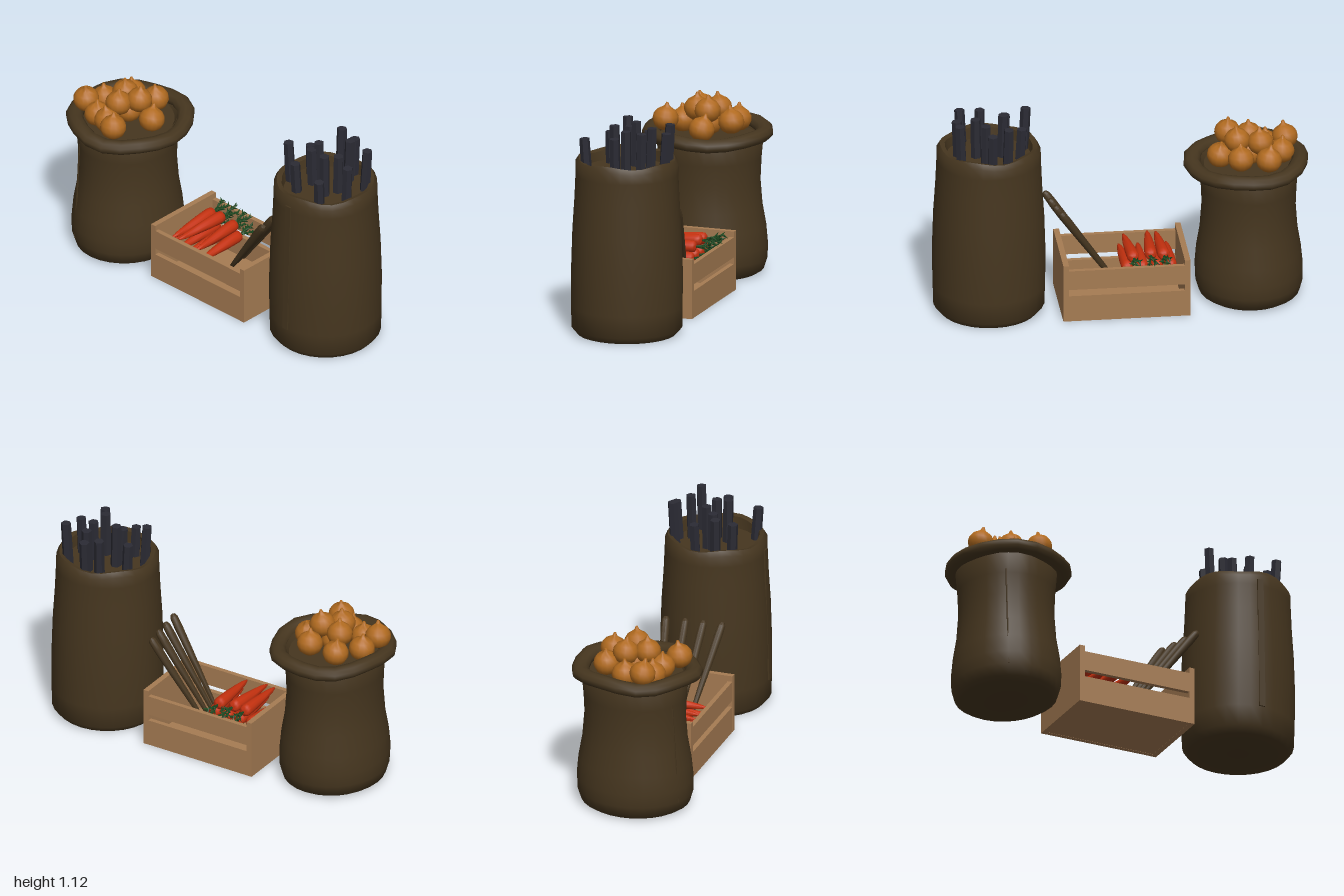
import * as THREE from 'three';
import { mergeVertices, toCreasedNormals } from 'three/addons/utils/BufferGeometryUtils.js';

const mat = (name, color) => {
  const m = new THREE.MeshStandardMaterial({ color });
  m.name = name;
  return m;
};

const V = (x, y, z) => new THREE.Vector3(x, y, z);

// Lathe from [radius, height] pairs, optionally pushed about by a vertex rule
function lathe(profile, sides, crease, rule) {
  let g = new THREE.LatheGeometry(profile.map(([r, y]) => new THREE.Vector2(r, y)), sides);
  g.deleteAttribute('uv');
  g.deleteAttribute('normal');
  if (rule) {
    const p = g.attributes.position;
    for (let i = 0; i < p.count; i++) {
      const v = V(0, 0, 0).fromBufferAttribute(p, i);
      rule(v, Math.atan2(v.z, v.x));
      p.setXYZ(i, v.x, v.y, v.z);
    }
  }
  g = mergeVertices(g, 1e-5);
  g.computeVertexNormals();
  return toCreasedNormals(g, crease);
}

// Adds a named mesh to a parent
function add(parent, name, geometry, material, x = 0, y = 0, z = 0) {
  const m = new THREE.Mesh(geometry, material);
  m.name = name;
  m.position.set(x, y, z);
  parent.add(m);
  return m;
}

// Aims a mesh whose axis is +y from point a towards point b
function aim(mesh, a, b) {
  mesh.position.copy(a);
  mesh.quaternion.setFromUnitVectors(V(0, 1, 0), b.clone().sub(a).normalize());
  return mesh;
}

function group(parent, name, x = 0, y = 0, z = 0) {
  const g = new THREE.Group();
  g.name = name;
  g.position.set(x, y, z);
  parent.add(g);
  return g;
}

export function createModel() {
  const root = new THREE.Group();
  root.name = 'marketGoods';
  const sackCloth = mat('sackCloth', 0x46361f);
  const wood = mat('crateWood', 0xa67c53);
  const onionSkin = mat('onionSkin', 0xb06a1f);
  const carrotRed = mat('carrotRed', 0xc4310f);
  const leafGreen = mat('leafGreen', 0x1f4d22);
  const charcoal = mat('charcoal', 0x2b2b34);
  const rootBrown = mat('rootBrown', 0x45351f);

  // Onion sack: pinched waist, rolled rim, sunken top
  const onions = group(root, 'onionSack', -0.68, 0, 0);
  add(onions, 'onionSackBody', lathe([
    [0, 0], [0.235, 0], [0.265, 0.02], [0.282, 0.08], [0.284, 0.15], [0.275, 0.25],
    [0.257, 0.36], [0.247, 0.5], [0.252, 0.62], [0.262, 0.74], [0.25, 0.76], [0.235, 0.735], [0, 0.74],
  ], 28, 0.9, (v, a) => {
    const k = 1 + 0.012 * Math.sin(3 * a + 1) * Math.min(1, v.y * 5);
    v.x *= k;
    v.z *= k * 1.09;
  }), sackCloth);
  const rim = [];
  for (let i = 0; i <= 10; i++) {
    const t = -Math.PI / 2 + i / 10 * Math.PI * 2;
    rim.push([0.285 + 0.045 * Math.cos(t), 0.755 + 0.036 * Math.sin(t)]);
  }
  add(onions, 'onionSackRim', lathe(rim, 20, 1.2, (v, a) => {
    const k = 1 + 0.02 * Math.sin(5 * a + 0.6);
    v.x *= k;
    v.z *= k * 1.05;
    v.y += 0.008 * Math.sin(4 * a) - 0.008 * Math.cos(a);
  }), sackCloth, 0.013, 0, 0);
  add(onions, 'onionSackSeam', new THREE.BoxGeometry(0.006, 0.56, 0.006), sackCloth, -0.12, 0.36, 0.262)
    .rotation.x = -0.06;

  // Onions: round bulbs with a pointed neck
  const bulb = lathe([
    [0, -0.066], [0.03, -0.06], [0.055, -0.042], [0.069, -0.01], [0.066, 0.018],
    [0.05, 0.043], [0.026, 0.058], [0.013, 0.068], [0.006, 0.085], [0, 0.086],
  ], 16, 1);
  [
    [-0.77, 0.81, -0.13], [-0.62, 0.83, -0.145], [-0.525, 0.8, -0.015], [-0.735, 0.87, -0.035],
    [-0.615, 0.88, -0.015], [-0.685, 0.87, 0.07], [-0.88, 0.83, 0.11], [-0.85, 0.8, 0],
    [-0.78, 0.79, 0.13], [-0.69, 0.8, 0.15], [-0.59, 0.825, 0.21], [-0.68, 0.8, 0],
  ].forEach(([x, y, z], i) => {
    const o = add(onions, 'onion', bulb, onionSkin, x + 0.68, y, z);
    o.rotation.set(0.15 * Math.sin(i * 2.3), i, 0.15 * Math.cos(i * 1.7));
  });

  // Charcoal sack: tall, gently tapered, wavy open mouth
  const coal = group(root, 'charcoalSack', 0.697, 0, -0.048);
  add(coal, 'charcoalSackBody', lathe([
    [0, 0], [0.262, 0], [0.292, 0.035], [0.295, 0.15], [0.297, 0.33], [0.29, 0.55],
    [0.279, 0.72], [0.273, 0.86], [0.272, 0.915], [0.255, 0.942], [0.23, 0.935], [0.222, 0.88], [0, 0.885],
  ], 28, 0.9, (v, a) => {
    const k = 1 + 0.01 * Math.sin(4 * a) * Math.min(1, v.y * 4);
    v.x *= k;
    v.z *= k;
    if (v.y > 0.9) v.y += 0.008 * Math.sin(5 * a + 1);
  }), sackCloth);
  add(coal, 'charcoalSackSeam', new THREE.BoxGeometry(0.034, 0.74, 0.008), sackCloth, -0.005, 0.52, 0.288)
    .rotation.x = -0.033;

  // Charcoal sticks: six-sided, leaning slightly outwards
  [
    [0.615, 1.12, -0.26], [0.7, 1.09, -0.27], [0.73, 1.12, -0.2], [0.865, 1.12, -0.19],
    [0.53, 1.05, -0.11], [0.625, 1.12, -0.075], [0.61, 1.09, -0.035], [0.77, 1.1, -0.07],
    [0.865, 1.08, -0.04], [0.74, 1.12, 0.005], [0.495, 1.11, 0.02], [0.6, 1.05, 0.08], [0.83, 1.06, 0.14],
  ].forEach(([x, top, z], i) => {
    const base = V((x - 0.697) * 0.92, 0.8, (z + 0.048) * 0.92);
    const tip = V(x - 0.697, top, z + 0.048);
    const len = base.distanceTo(tip);
    const g = new THREE.CylinderGeometry(0.027, 0.029, len, 6).rotateY(i).translate(0, len / 2, 0);
    aim(add(coal, 'charcoalStick', toCreasedNormals(g, 0.3), charcoal), base, tip);
  });

  // Crate: solid ends and floor, two slats on each long side
  const crate = group(root, 'crate', -0.005, 0, -0.045);
  for (const s of [-1, 1]) {
    add(crate, 'crateEnd', new THREE.BoxGeometry(0.03, 0.32, 0.46), wood, s * 0.32, 0.16, 0);
    add(crate, 'lowerSlat', new THREE.BoxGeometry(0.61, 0.145, 0.025), wood, 0, 0.0725, s * 0.2165);
    add(crate, 'upperSlat', new THREE.BoxGeometry(0.61, 0.108, 0.025), wood, 0, 0.235, s * 0.2165);
  }
  add(crate, 'crateFloor', new THREE.BoxGeometry(0.61, 0.025, 0.41), wood, 0, 0.0135, 0);

  // Carrots in two layers, tips to the front, leafy tops to the back
  const carrotBody = lathe([
    [0, 0], [0.018, 0.002], [0.03, 0.012], [0.033, 0.035], [0.03, 0.11],
    [0.023, 0.2], [0.014, 0.28], [0.005, 0.318], [0, 0.322],
  ], 12, 1);
  const stem = new THREE.CylinderGeometry(0.003, 0.004, 0.1, 5).translate(0, 0.05, 0);
  const leaf = new THREE.ConeGeometry(0.007, 0.03, 4).translate(0, 0.015, 0);
  [
    [-0.25, 0.235, -0.01], [-0.18, 0.235, 0.01], [-0.1, 0.235, -0.01], [-0.025, 0.235, 0.015],
    [-0.215, 0.296, 0.01], [-0.145, 0.302, -0.015], [-0.055, 0.29, 0.02],
  ].forEach(([x, y, lean], i) => {
    const c = group(root, 'carrot');
    aim(c, V(x, y, -0.158), V(x + lean, y - 0.01, 0.16));
    add(c, 'carrotRoot', carrotBody, carrotRed);
    for (let k = 0; k < 3; k++) {
      const a = k * 2.1 + i;
      const dir = V(0.25 * Math.cos(a), -1, 0.25 * Math.sin(a));
      const s = group(c, 'carrotTop');
      aim(s, V(0, 0.005, 0), dir);
      add(s, 'stem', stem, leafGreen);
      for (let j = 0; j < 6; j++) {
        const y0 = 0.04 + j * 0.011;
        const b = a + j * 2.4;
        aim(add(s, 'leaf', leaf, leafGreen), V(0, y0, 0), V(0.02 * Math.cos(b), y0 + 0.02, 0.02 * Math.sin(b)));
      }
    }
  });

  // Long brown roots leaning out of the crate
  const longRoot = lathe([
    [0, 0], [0.009, 0.01], [0.014, 0.15], [0.02, 0.36], [0.023, 0.5], [0.021, 0.555], [0.012, 0.572], [0, 0.574],
  ], 10, 0.7);
  [
    [0.02, -0.13, 0.33, -0.195], [0.025, -0.075, 0.355, -0.095],
    [0.035, -0.025, 0.375, 0], [0.055, 0.025, 0.392, 0.1],
  ].forEach(([x0, z0, x1, z1]) => {
    aim(add(root, 'longRoot', longRoot, rootBrown), V(x0, 0.12, z0), V(x1, 0.585, z1));
  });

  return root;
}
